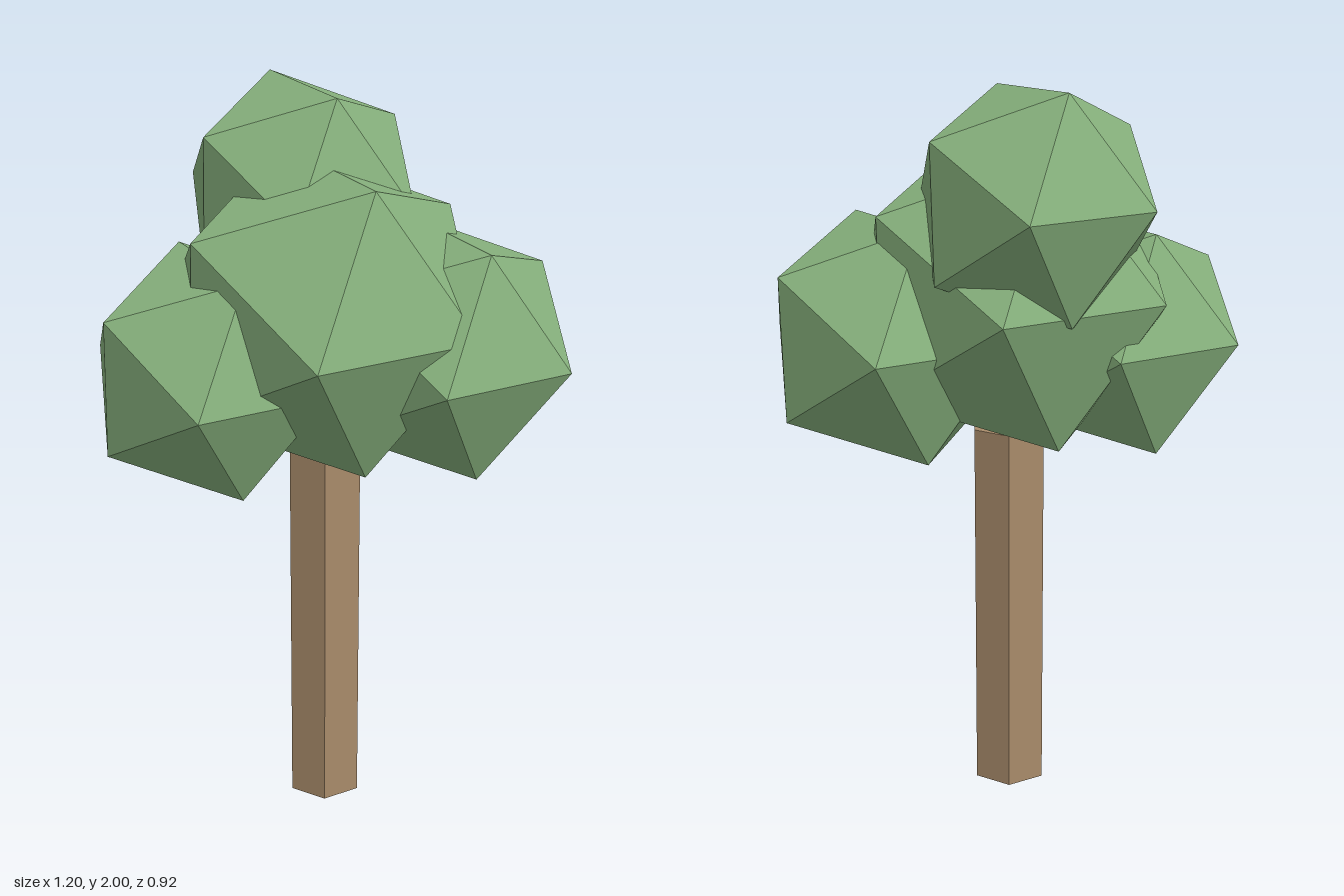
import * as THREE from 'three';

export function createModel() {
  const model = new THREE.Group();
  model.name = 'tree';

  const leafGreen = new THREE.MeshStandardMaterial({ color: 0x86b07c });
  leafGreen.name = 'leafGreen';
  const barkBrown = new THREE.MeshStandardMaterial({ color: 0xa98c6b });
  barkBrown.name = 'barkBrown';

  // Six-sided trunk with corners pointing left and right
  const trunkHeight = 1.06;
  const trunkShape = new THREE.CylinderGeometry(0.1085, 0.1085, trunkHeight, 6, 1, false, Math.PI / 6).toNonIndexed();
  trunkShape.computeVertexNormals();
  const trunk = new THREE.Mesh(trunkShape, barkBrown);
  trunk.name = 'trunk';
  trunk.position.set(-0.0085, trunkHeight / 2, 0.035);
  model.add(trunk);

  // Foliage clumps: faceted balls, all turned and tipped slightly forward alike
  const clumps = [
    ['middleFoliage', 0.4525, -0.005, 1.435, 0.02],
    ['topFoliage', 0.338, 0.037, 1.706, -0.174],
    ['leftFoliage', 0.367, 0.288, 1.323, 0.148],
    ['rightFoliage', 0.35, -0.302, 1.298, -0.052],
  ];
  for (const [name, radius, x, y, z] of clumps) {
    const clump = new THREE.Mesh(new THREE.IcosahedronGeometry(radius, 0), leafGreen);
    clump.name = name;
    clump.position.set(x, y, z);
    clump.rotation.set(0.045, Math.PI / 2, 0);
    model.add(clump);
  }

  return model;
}
